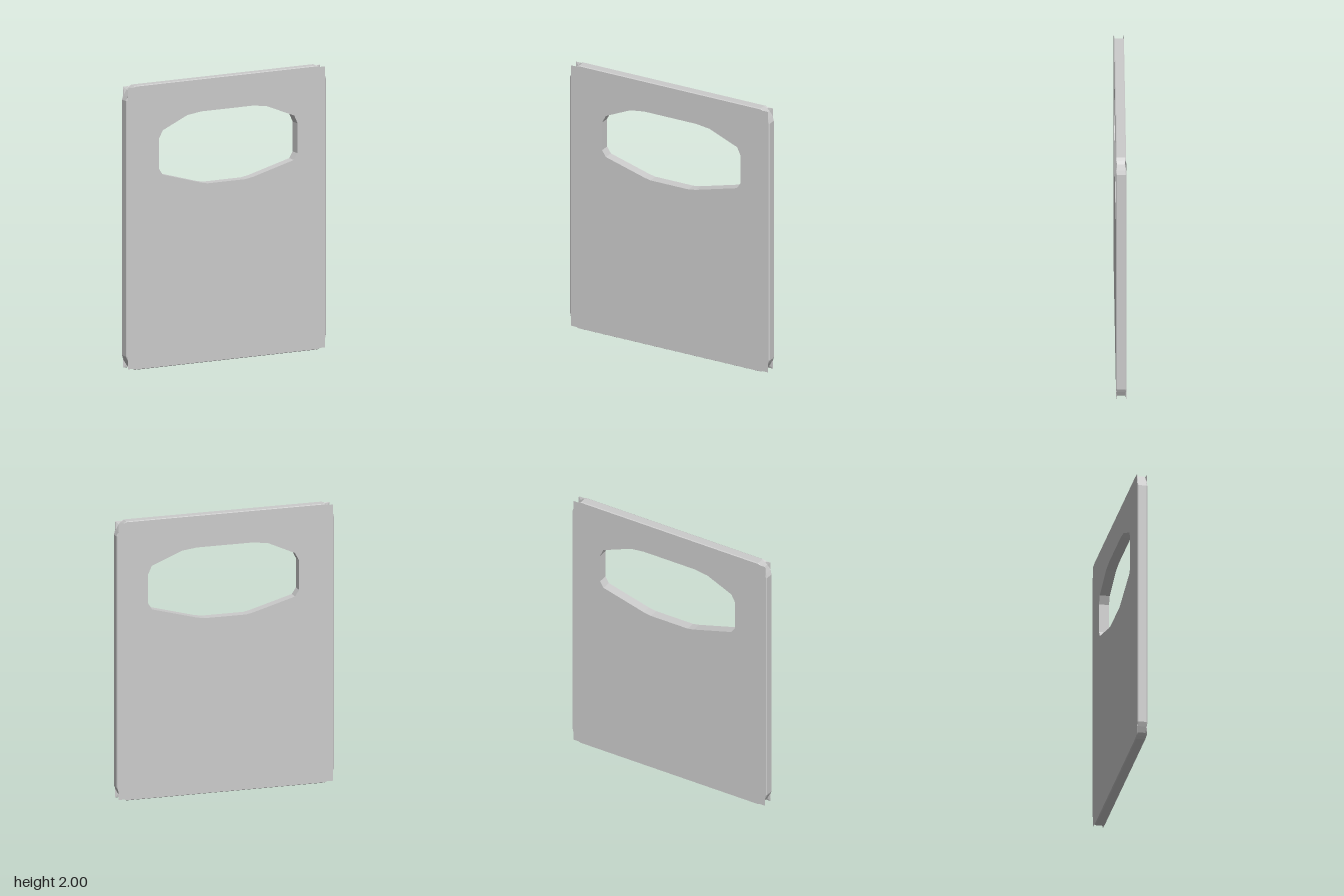
import * as THREE from 'three';

const HALF = 0.035; // half thickness
const RIM = 0.028; // where the edge bevel ends

// Mirror one top-right corner into a full counter-clockwise outline
function outline(corner) {
  const back = [...corner].reverse();
  const at = (list, sx, flip) => list.map(([x, y]) => new THREE.Vector2(x * sx, flip ? 2 - y : y));
  return [...at(corner, 1, false), ...at(back, -1, false), ...at(corner, -1, true), ...at(back, 1, true)];
}

// Flat-shaded walls through rings of equal length, ordered back to front
function loft(rings) {
  const pos = [], idx = [], n = rings[0].points.length;
  for (const { points, z } of rings) for (const p of points) pos.push(p.x, p.y, z);
  for (let r = 0; r < rings.length - 1; r++) {
    for (let i = 0; i < n; i++) {
      const j = (i + 1) % n, a = r * n, b = a + n;
      idx.push(a + i, a + j, b + j, a + i, b + j, b + i);
    }
  }
  const g = new THREE.BufferGeometry();
  g.setAttribute('position', new THREE.Float32BufferAttribute(pos, 3));
  g.setIndex(idx);
  g.computeVertexNormals();
  return g;
}

export function createModel() {
  const group = new THREE.Group();
  group.name = 'panel';
  const material = new THREE.MeshStandardMaterial({ color: 0xcccccc, flatShading: true, side: THREE.DoubleSide });
  const add = (name, geometry) => {
    const mesh = new THREE.Mesh(geometry, material);
    mesh.name = name;
    group.add(mesh);
    return mesh;
  };

  // Faces keep pointed corners, the rim between them is notched inward
  const faceRing = outline([[0.786, 1.9], [0.78, 1.93], [0.78, 1.99], [0.74, 1.99], [0.72, 1.996]]);
  const rimRing = outline([[0.792, 1.9], [0.778, 1.93], [0.758, 1.968], [0.74, 1.985], [0.72, 2]]);

  // Window opening, counter-clockwise
  const opening = [
    [0.563, 1.4], [0.563, 1.61], [0.537, 1.667], [0.315, 1.757], [0.21, 1.77],
    [-0.2, 1.77], [-0.31, 1.755], [-0.505, 1.667], [-0.535, 1.61], [-0.535, 1.4],
    [-0.505, 1.355], [-0.2, 1.268], [-0.15, 1.258], [0.15, 1.258], [0.21, 1.268], [0.535, 1.355],
  ].map(([x, y]) => new THREE.Vector2(x, y));

  // Front and back faces
  const shape = new THREE.Shape(faceRing);
  shape.holes.push(new THREE.Path(opening));
  const face = new THREE.ShapeGeometry(shape);
  add('frontFace', face).position.z = HALF;
  const back = add('backFace', face.clone().rotateY(Math.PI).scale(1, 1, 1));
  // Turn the same outline to face backwards without mirroring the opening
  back.geometry = face.clone();
  const index = back.geometry.index;
  for (let i = 0; i < index.count; i += 3) {
    const a = index.getX(i);
    index.setX(i, index.getX(i + 1));
    index.setX(i + 1, a);
  }
  back.geometry.computeVertexNormals();
  back.position.z = -HALF;

  // Outer edge with a slim bevel
  add('outerEdge', loft([
    { points: faceRing, z: -HALF },
    { points: rimRing, z: -RIM },
    { points: rimRing, z: RIM },
    { points: faceRing, z: HALF },
  ]));

  // Inner wall of the opening
  const inner = [...opening].reverse();
  add('openingWall', loft([{ points: inner, z: -HALF }, { points: inner, z: HALF }]));

  return group;
}
